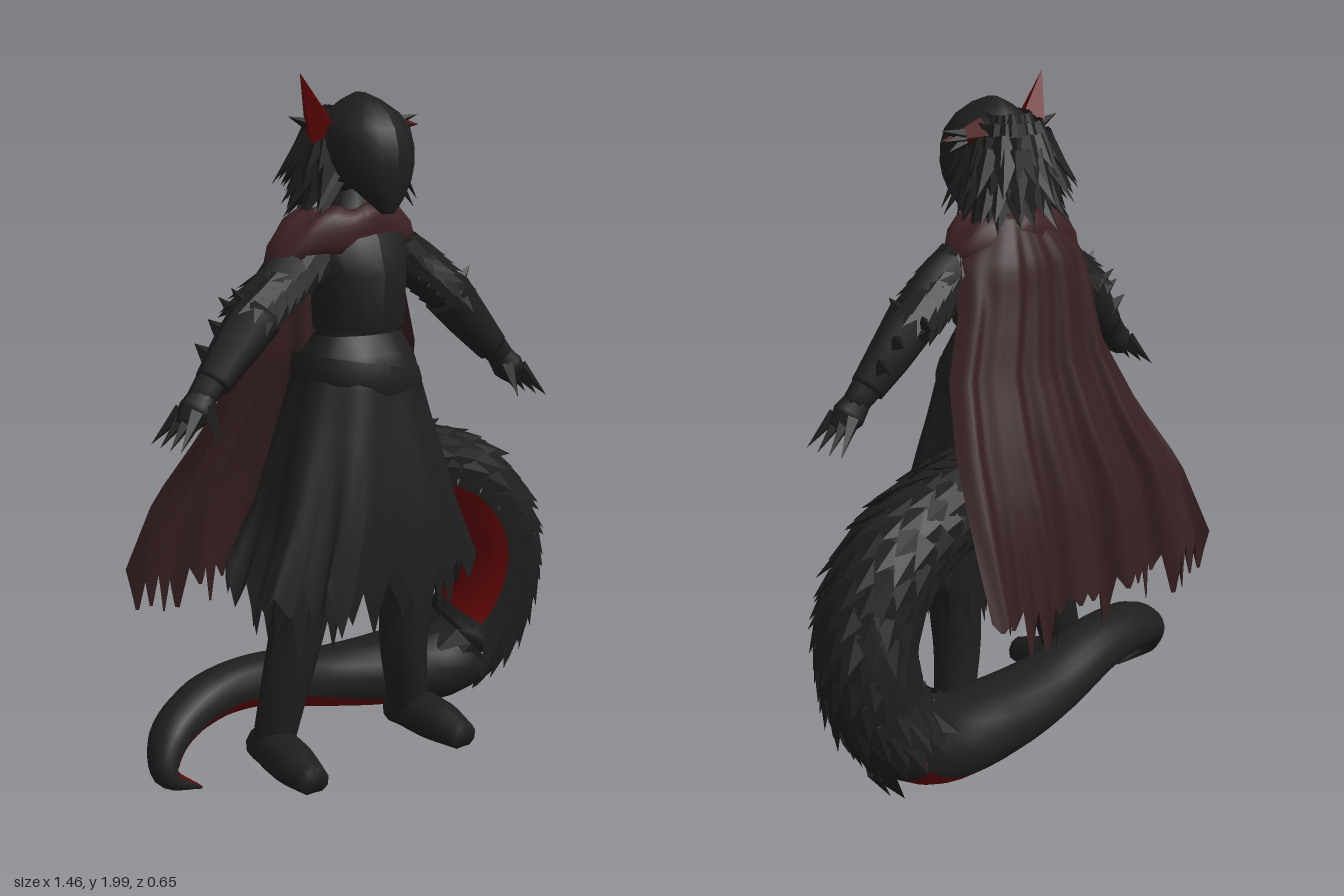
import * as THREE from 'three';
import { mergeGeometries } from 'three/addons/utils/BufferGeometryUtils.js';

const V = (x, y, z) => new THREE.Vector3(x, y, z);
const CX = -0.07; // body centre line
const mat = (name, color) => Object.assign(new THREE.MeshStandardMaterial({ color, side: THREE.DoubleSide }), { name });

export function createModel() {
  const group = new THREE.Group();
  const charcoal = mat('charcoal', 0x1e1e1e);
  const black = mat('scaleBlack', 0x1c1c1c);
  const maroon = mat('cloakMaroon', 0x361f20);
  const collarMaroon = mat('collarMaroon', 0x3d2123);
  const red = mat('bellyRed', 0x640606);
  const dullRed = mat('earRed', 0x481718);

  let seed = 7;
  const rnd = () => (seed = (seed * 16807) % 2147483647) / 2147483647;
  const add = (name, geo, material) => {
    const m = new THREE.Mesh(geo, material);
    m.name = name;
    group.add(m);
  };

  // grid surface from fn(u, v), both 0..1
  const sheet = (cols, rows, fn) => {
    const pos = [], idx = [];
    for (let j = 0; j <= rows; j++) for (let i = 0; i <= cols; i++) pos.push(...fn(i / cols, j / rows).toArray());
    for (let j = 0; j < rows; j++) for (let i = 0; i < cols; i++) {
      const a = j * (cols + 1) + i, b = a + cols + 1;
      idx.push(a, b, a + 1, a + 1, b, b + 1);
    }
    const g = new THREE.BufferGeometry();
    g.setAttribute('position', new THREE.Float32BufferAttribute(pos, 3));
    g.setIndex(idx);
    g.computeVertexNormals();
    return g;
  };

  // linear lookup in a table of rows, t 0..1
  const mix = (table, t) => {
    const f = Math.min(t, 0.99999) * (table.length - 1), i = Math.floor(f), k = f - i;
    return table[i].map((a, n) => a + (table[i + 1][n] - a) * k);
  };

  // stacked ellipses: rows of [y, halfWidth, halfDepth, centreZ]
  const stack = (rows, cols = 16) => {
    const all = [[rows[0][0], 0, 0, rows[0][3]], ...rows, [rows.at(-1)[0], 0, 0, rows.at(-1)[3]]];
    return sheet(cols, all.length - 1, (u, v) => {
      const [y, rx, rz, cz] = all[Math.round(v * (all.length - 1))], a = u * Math.PI * 2;
      return V(CX + Math.sin(a) * rx, y, cz + Math.cos(a) * rz);
    });
  };

  // round limb along points [x, y, z, radius], with closed ends
  const limb = (pts, floor = -1, cols = 10) => {
    const curve = new THREE.CatmullRomCurve3(pts.map(p => V(p[0], p[1], p[2])));
    const n = 14;
    return sheet(cols, n + 2, (u, v) => {
      const row = Math.round(v * (n + 2)), t = Math.min(Math.max((row - 1) / n, 0), 1);
      const r = row === 0 || row === n + 2 ? 0 : mix(pts.map(p => [p[3]]), t)[0];
      const T = curve.getTangent(t);
      const S = T.clone().cross(Math.abs(T.z) > 0.7 ? V(1, 0, 0) : V(0, 0, 1)).normalize();
      const B = S.clone().cross(T), a = u * Math.PI * 2;
      const p = curve.getPoint(t).addScaledVector(S, Math.cos(a) * r).addScaledVector(B, Math.sin(a) * r);
      p.y = Math.max(p.y, floor);
      return p;
    });
  };

  // flattened four-sided spike from a base point
  const spike = (base, dir, normal, w, len, thick) => {
    const y = dir.clone().normalize();
    const x = y.clone().cross(normal).normalize(), z = x.clone().cross(y);
    const g = new THREE.ConeGeometry(1, 1, 4, 1, true).toNonIndexed();
    g.translate(0, 0.5, 0).scale(w, len, thick);
    g.applyMatrix4(new THREE.Matrix4().makeBasis(x, y, z).setPosition(base));
    g.computeVertexNormals();
    return g;
  };

  // torso, neck and face mask
  add('torso', stack([[1.2, 0.15, 0.1, 0.1], [1.28, 0.13, 0.08, 0.11], [1.3, 0.142, 0.11, 0.11], [1.45, 0.148, 0.12, 0.11],
    [1.55, 0.16, 0.1, 0.1], [1.61, 0.07, 0.06, 0.08], [1.72, 0.06, 0.06, 0.09]]), charcoal);
  add('mask', stack([[1.62, 0.02, 0.015, 0.24], [1.66, 0.06, 0.045, 0.225], [1.71, 0.1, 0.085, 0.195], [1.75, 0.12, 0.12, 0.165], [1.8, 0.128, 0.145, 0.14],
    [1.85, 0.122, 0.14, 0.13], [1.89, 0.095, 0.115, 0.125], [1.925, 0.045, 0.07, 0.12], [1.945, 0.008, 0.02, 0.115]]), charcoal);

  // shaggy hair around the back and sides of the head
  const head = V(CX, 1.78, 0.06);
  add('hairCap', new THREE.SphereGeometry(0.13, 16, 10).translate(head.x, head.y, head.z), black);
  const hair = [];
  for (let j = 0; j < 7; j++) for (let i = 0; i < 15; i++) {
    const a = (i / 14 - 0.5) * Math.PI * 1.3 + (rnd() - 0.5) * 0.2;
    const lift = 1.15 - j * 0.3, r = 0.128 * Math.cos(lift);
    const out = V(Math.sin(a), 0, -Math.cos(a));
    const base = V(head.x + out.x * r, head.y + Math.sin(lift) * 0.13, head.z + out.z * r);
    const dir = out.clone().multiplyScalar(0.3 + rnd() * 0.4).add(V(0, -0.85, 0));
    hair.push(spike(base, dir, out, 0.042, 0.09 + rnd() * 0.06, 0.02));
  }
  add('hair', mergeGeometries(hair), black);

  // one upright ear, one folded ear
  add('rightEar', spike(V(-0.18, 1.84, 0.085), V(-0.105, 0.16, 0.045), V(0.3, 0, 1), 0.055, 0.195, 0.055), red);
  add('rightEarTuft', spike(V(-0.18, 1.85, 0.06), V(-0.09, 0.03, 0), V(0, 0, 1), 0.025, 0.1, 0.02), black);
  add('leftEar', spike(V(0.01, 1.855, 0.085), V(0.15, -0.005, -0.01), V(0, 0, 1), 0.042, 0.165, 0.065), dullRed);
  add('leftEarTuft', mergeGeometries([-1, 0, 1].map(k =>
    spike(V(0.1, 1.85 + k * 0.01, 0.06), V(0.1, k * 0.025, k * 0.02), V(0, 0, 1), 0.018, 0.075, 0.015))), black);

  // skirt layers with a torn hem: long at the sides, raised at the back
  const skirtRows = [[1.28, 0.14, 0.09, 0.105], [1.2, 0.18, 0.145, 0.1], [1.0, 0.24, 0.172, 0.105], [0.8, 0.305, 0.195, 0.115], [0.64, 0.385, 0.2, 0.12]];
  const skirt = (scale, drop, teeth) => {
    const tips = Array.from({ length: teeth }, () => 0.02 + rnd() * 0.14);
    return sheet(teeth * 4, 12, (u, v) => {
      let [y, rx, rz, cz] = mix(skirtRows, v);
      const a = u * Math.PI * 2, f = (u * teeth) % 1, c = Math.cos(a), s = Math.sin(a);
      const wave = scale * (1 + 0.06 * v * Math.cos(a * 8 + Math.PI));
      const square = x => Math.sign(x) * Math.abs(x) ** (1 - 0.22 * v);
      if (v > 0.6) {
        const tooth = tips[Math.floor(u * teeth) % teeth] * (1 - Math.abs(f * 2 - 1));
        y -= (drop + tooth + 0.05 * Math.abs(s) - Math.max(0, -c) * 0.2) * (v - 0.6) / 0.4;
      }
      return V(CX - 0.02 * v + square(s) * rx * wave, y, cz + square(c) * rz * wave);
    });
  };
  add('skirt', skirt(1, 0, 23), charcoal);
  add('underSkirt', skirt(0.82, 0.06, 29), black);
  add('sash', sheet(28, 3, (u, v) => {
    const a = u * Math.PI * 2, bulge = Math.sin(v * Math.PI) * 0.01, tilt = Math.sin(a);
    return V(CX + Math.sin(a) * (0.195 + bulge), 1.2 - v * 0.1 - tilt * 0.035, 0.1 + Math.cos(a) * (0.152 + bulge));
  }), charcoal);

  // cloak: rows of [y, xRight, xLeft, middle z, edge z]
  const cloakRows = [[1.62, -0.2, 0.06, -0.03, 0.08], [1.5, -0.34, 0.16, -0.085, 0.05], [1.4, -0.355, 0.18, -0.1, 0], [1.2, -0.385, 0.26, -0.13, -0.04],
    [1.0, -0.46, 0.31, -0.19, -0.12], [0.8, -0.565, 0.34, -0.245, -0.215], [0.58, -0.61, 0.355, -0.28, -0.305]];
  const cloakTips = Array.from({ length: 19 }, () => 0.03 + rnd() * 0.15);
  add('cloak', sheet(95, 20, (u, v) => {
    let [y, x0, x1, zm, ze] = mix(cloakRows, v);
    const s = u * 2 - 1, f = (u * 19) % 1;
    const fold = Math.sin(u * 31) * 0.022 * v + Math.sin(u * 57 + 1) * 0.01 * v;
    if (v > 0.8) y -= (cloakTips[Math.floor(u * 19) % 19] * (1 - Math.abs(f * 2 - 1)) + 0.04 * (1 - s * s)) * (v - 0.8) / 0.2;
    return V(x0 + (x1 - x0) * u, y, zm + (ze - zm) * s ** 4 + fold);
  }), maroon);
  const collarRows = [[1.6, 0.09, 0.08], [1.63, 0.12, 0.095], [1.6, 0.19, 0.12], [1.55, 0.235, 0.125], [1.49, 0.255, 0.115], [1.5, 0.2, 0.09]];
  add('collar', sheet(36, 10, (u, v) => {
    const [y, rx, rz] = mix(collarRows, v), a = u * Math.PI * 2, s = Math.sin(a);
    const front = Math.max(0, Math.cos(a)) * 0.045 * v;
    return V(-0.105 + s * rx, y + front + s * 0.025 * v + Math.sin(a * 7) * 0.008, 0.07 + Math.cos(a) * rz);
  }), collarMaroon);

  // arms and legs, mirrored about the centre line
  for (const s of [1, -1]) {
    const side = s > 0 ? 'left' : 'right';
    const M = pts => pts.map(([x, y, z, r]) => [CX + s * x, y, z, r]);
    const P = (x, y, z) => V(CX + s * x, y, z);
    const D = (x, y, z) => V(s * x, y, z);
    add(side + 'Arm', limb(M([[0.12, 1.5, 0.09, 0.07], [0.23, 1.45, 0.09, 0.076], [0.35, 1.34, 0.1, 0.06], [0.46, 1.23, 0.11, 0.052], [0.55, 1.14, 0.12, 0.036]])), charcoal);
    add(side + 'Gauntlet', limb(M([[0.335, 1.36, 0.1, 0.075], [0.42, 1.27, 0.105, 0.064], [0.5, 1.185, 0.115, 0.05]])), charcoal);
    add(side + 'Hand', limb(M([[0.52, 1.17, 0.115, 0.035], [0.56, 1.12, 0.125, 0.048], [0.595, 1.085, 0.13, 0.03]])), charcoal);

    // clawed fingers, elbow spikes and layered arm plates
    const claws = [0, 1, 2, 3].map(k => spike(P(0.575, 1.12, 0.085 + k * 0.026), D(0.07, -0.08, (k - 1.5) * 0.02), V(0, 0, 1), 0.026, 0.125, 0.018));
    claws.push(spike(P(0.54, 1.13, 0.15), D(-0.01, -0.07, 0.045), V(0, 0, 1), 0.026, 0.11, 0.02));
    add(side + 'Claws', mergeGeometries(claws), black);
    const plates = [];
    for (let k = 0; k < 6; k++) for (let i = 0; i < 7; i++) {
      const a = -1.7 + i * 0.56, t = k / 5;
      const n = D(0.7 * Math.cos(a), 0.7 * Math.cos(a), Math.sin(a));
      const base = P(0.15 + t * 0.17, 1.5 - t * 0.13, 0.09).addScaledVector(n, 0.063);
      plates.push(spike(base, D(0.7, -0.75, 0).addScaledVector(n, 0.25 + rnd() * 0.25), n, 0.042, 0.085, 0.012));
    }
    for (const [x, y, z, l] of [[0.36, 1.36, 0.1, 0.1], [0.34, 1.33, 0.04, 0.1], [0.42, 1.3, 0.07, 0.07], [0.47, 1.24, 0.08, 0.07]])
      plates.push(spike(P(x, y, z), D(0.5, 0.6, z < 0.1 ? -0.4 : 0), V(0, 0, 1), 0.038, l, 0.03));
    add(side + 'ArmPlates', mergeGeometries(plates), black);

    // leg, boot and knee guard; the right foot stands further out
    const foot = s > 0 ? 0.245 : 0.285;
    add(side + 'Leg', limb(M([[0.09, 0.92, 0.08, 0.1], [0.15, 0.68, 0.09, 0.1], [0.195, 0.46, 0.085, 0.08], [foot - 0.05, 0.3, 0.08, 0.072], [foot - 0.01, 0.09, 0.06, 0.06]])), charcoal);
    add(side + 'Boot', limb(M([[foot - 0.015, 0.075, -0.005, 0.052], [foot - 0.005, 0.085, 0.08, 0.066], [foot + 0.005, 0.07, 0.2, 0.066], [foot + 0.01, 0.055, 0.295, 0.045]]), 0.025), charcoal);
    const guard = [];
    for (let i = 0; i < 9; i++) {
      const a = i / 9 * Math.PI * 2, n = V(Math.sin(a), 0, Math.cos(a));
      guard.push(spike(P(0.185, 0.52, 0.085).addScaledVector(n, 0.08), V(0, -1, 0).addScaledVector(n, 0.08), n, 0.035, 0.12, 0.012));
    }
    add(side + 'KneeGuard', mergeGeometries(guard), black);
  }

  // tail: [x, y, z, radius, belly direction]
  const T = [[0, 0.86, 0.02, 0.12, 0, -1, 0.1], [0.25, 0.825, -0.02, 0.11, -0.1, -1, 0.4], [0.45, 0.73, -0.02, 0.116, -0.6, -0.8, 0.45],
    [0.57, 0.53, -0.02, 0.116, -1, -0.1, 0.4], [0.55, 0.3, -0.05, 0.12, -0.95, 0.25, 0.15], [0.43, 0.165, -0.095, 0.122, -0.05, -0.95, -0.3],
    [0.2, 0.155, -0.115, 0.112, 0, -1, 0.1], [-0.05, 0.18, -0.12, 0.09, 0, -1, 0.3], [-0.3, 0.23, -0.1, 0.078, 0, -0.9, 0.4],
    [-0.5, 0.22, -0.07, 0.07, 0, -0.9, 0.4], [-0.645, 0.155, -0.02, 0.055, 0.6, -0.6, 0.2], [-0.68, 0.07, 0.02, 0.037, 1, 0, 0.2], [-0.58, 0.015, 0.045, 0.004, 0.3, 1, 0]];
  const spine = new THREE.CatmullRomCurve3(T.map(p => V(p[0], p[1], p[2])));
  const bellies = new THREE.CatmullRomCurve3(T.map(p => V(p[4], p[5], p[6])));
  const tailAt = (t, a) => {
    const tan = spine.getTangent(t), belly = bellies.getPoint(t);
    belly.addScaledVector(tan, -belly.dot(tan)).normalize();
    const across = tan.clone().cross(belly), r = mix(T.map(p => [p[3]]), t)[0];
    const n = belly.multiplyScalar(Math.cos(a)).addScaledVector(across, Math.sin(a));
    const wide = 1 + 0.22 * Math.sin(a) ** 2;
    const p = spine.getPoint(t).addScaledVector(n, r * wide);
    p.y = Math.max(p.y, 0.005);
    return { p, n, tan };
  };
  const B = 0.85; // half angle of the belly strip
  const bellyStrip = (t0, t1, rows) => sheet(6, rows, (u, v) => tailAt(t0 + (t1 - t0) * v, -B + u * 2 * B).p);
  add('upperTailBelly', bellyStrip(0, 0.345, 24), red);
  add('tailBellyTwist', bellyStrip(0.345, 0.405, 6), charcoal);
  add('lowerTailBelly', bellyStrip(0.405, 1, 42), red);
  add('tailBack', sheet(14, 72, (u, v) => tailAt(v, B + u * (Math.PI * 2 - 2 * B)).p), charcoal);

  // overlapping scales over the thick part of the tail
  const scales = [];
  for (let j = 0; j < 18; j++) for (let i = 0; i < 9; i++) {
    const t = 0.05 + j * 0.0195, a = 1.15 + (i + (j % 2) * 0.5) * 0.45;
    const { p, n, tan } = tailAt(t, a);
    p.addScaledVector(n, -0.006);
    scales.push(spike(p, tan.clone().addScaledVector(n, 0.16 + rnd() * 0.2), n, 0.058, 0.085 + rnd() * 0.03, 0.018));
  }
  add('tailScales', mergeGeometries(scales), black);
  return group;
}
